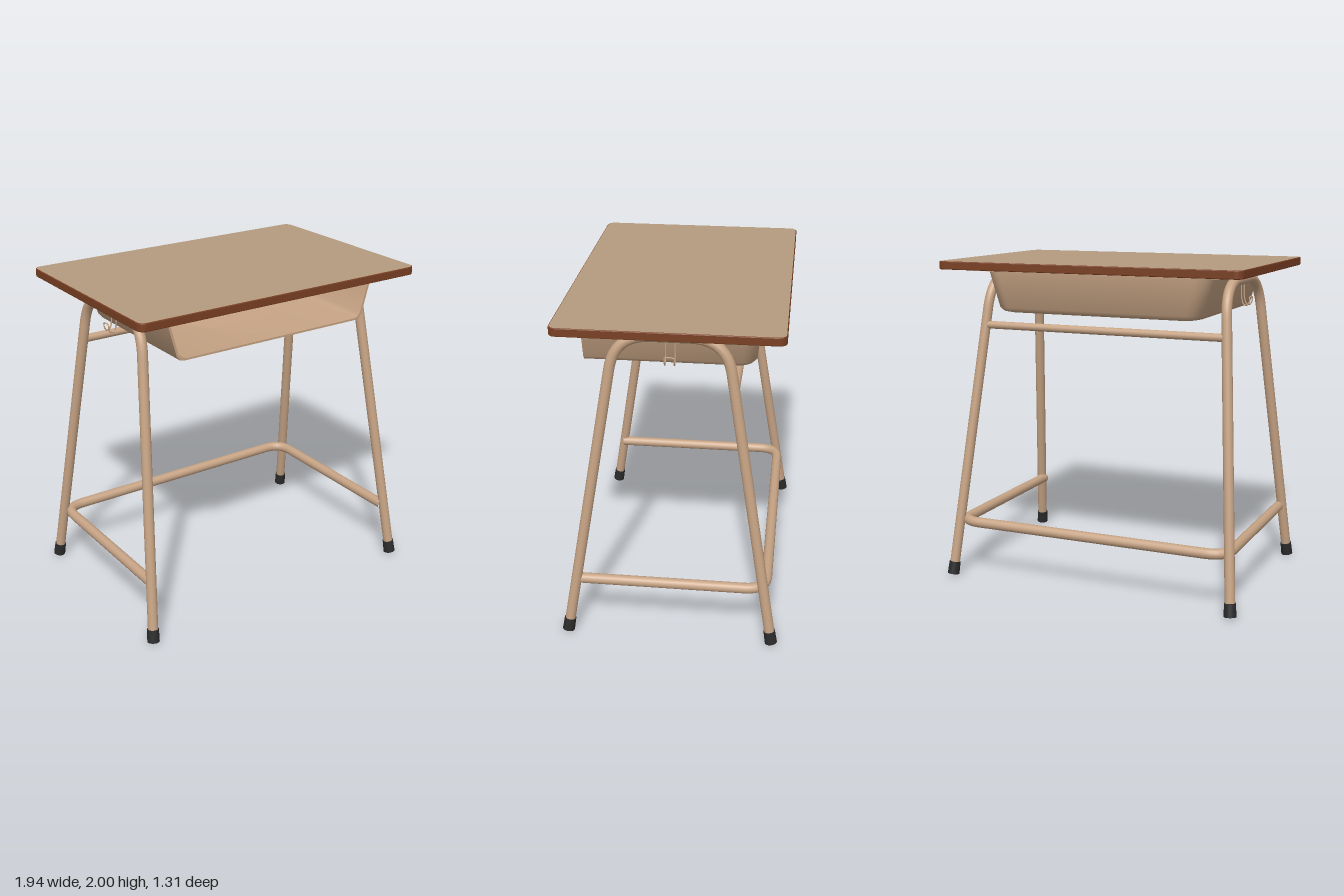
import * as THREE from 'three';
import { toCreasedNormals } from 'three/addons/utils/BufferGeometryUtils.js';

const V = (x, y, z) => new THREE.Vector3(x, y, z);
const material = (name, color) => Object.assign(new THREE.MeshStandardMaterial({ color }), { name });

// Polyline with its inner corners rounded off
function roundedPath(points, cut) {
  const path = new THREE.CurvePath();
  let from = points[0];
  for (let i = 1; i < points.length - 1; i++) {
    const p = points[i];
    const a = p.clone().add(points[i - 1].clone().sub(p).setLength(cut));
    const b = p.clone().add(points[i + 1].clone().sub(p).setLength(cut));
    path.add(new THREE.LineCurve3(from, a));
    path.add(new THREE.QuadraticBezierCurve3(a, p, b));
    from = b;
  }
  path.add(new THREE.LineCurve3(from, points[points.length - 1]));
  return path;
}

// Open-fronted tray, lofted through U-shaped outlines: [half width, back z, corner radius, y]
function trayGeometry(front) {
  const t = 0.012;
  const outer = [
    [0.615, -0.43, 0.08, 1.685], [0.645, -0.452, 0.085, 1.692],
    [0.665, -0.47, 0.09, 1.715], [0.728, -0.492, 0.1, 1.939],
  ];
  const inner = outer.map(([w, b, r, y], i) => [w - t, b + t, r - t, i === 3 ? 1.949 : y + t]).reverse();
  const levels = [...outer, [0.8, -0.53, 0.03, 1.939], [0.8, -0.53, 0.03, 1.949], ...inner];
  const outline = ([w, back, r, y]) => {
    const row = [V(w, y, front)];
    for (const [side, start] of [[1, 0], [-1, Math.PI / 2]]) {
      for (let i = 0; i <= 8; i++) {
        const a = start + (i / 8) * Math.PI / 2;
        row.push(V(side * (w - r) + r * Math.cos(a), y, back + r - r * Math.sin(a)));
      }
    }
    row.push(V(-w, y, front));
    return row;
  };
  const rows = levels.map(outline);
  const count = rows[0].length;
  // The floors close on a point in the middle of the front edge
  rows.unshift(Array(count).fill(V(0, 1.685, front)));
  rows.push(Array(count).fill(V(0, 1.685 + t, front)));

  const pos = [];
  const tri = (...ps) => ps.forEach((p) => pos.push(p.x, p.y, p.z));
  const quad = (a, b, c, d) => {
    if (!a.equals(b)) tri(a, b, c);
    if (!c.equals(d)) tri(a, c, d);
  };
  for (let j = 0; j < rows.length - 1; j++) {
    for (let i = 0; i < count - 1; i++) quad(rows[j][i], rows[j][i + 1], rows[j + 1][i + 1], rows[j + 1][i]);
  }
  // Front rim between the outer and inner skins
  for (let j = 0; j < rows.length / 2 - 1; j++) {
    const k = rows.length - 1 - j;
    quad(rows[j][0], rows[j + 1][0], rows[k - 1][0], rows[k][0]);
    quad(rows[k][count - 1], rows[k - 1][count - 1], rows[j + 1][count - 1], rows[j][count - 1]);
  }
  const g = new THREE.BufferGeometry();
  g.setAttribute('position', new THREE.Float32BufferAttribute(pos, 3));
  return toCreasedNormals(g, 0.7);
}

export function createModel() {
  const desk = new THREE.Group();
  desk.name = 'schoolDesk';
  const topMat = material('laminate', 0xb59b80);
  const edgeMat = material('brownEdge', 0x7a4023);
  const frameMat = material('beigeMetal', 0xc6a384);
  const trayMat = material('beigeTray', 0xc6a384);
  trayMat.side = THREE.DoubleSide;
  const footMat = material('blackRubber', 0x2b2b2b);

  const add = (name, geometry, mat) => {
    const mesh = new THREE.Mesh(geometry, mat);
    mesh.name = name;
    desk.add(mesh);
    return mesh;
  };
  const tube = (name, path, radius, segments, sides = 16) =>
    add(name, new THREE.TubeGeometry(path, segments, radius, sides), frameMat);

  // Tabletop with a brown edge band
  const W = 0.96, D = 0.635, R = 0.04;
  const slab = new THREE.Shape();
  slab.absarc(W - R, D - R, R, 0, Math.PI / 2);
  slab.absarc(R - W, D - R, R, Math.PI / 2, Math.PI);
  slab.absarc(R - W, R - D, R, Math.PI, Math.PI * 1.5);
  slab.absarc(W - R, R - D, R, Math.PI * 1.5, Math.PI * 2);
  const slabGeo = new THREE.ExtrudeGeometry(slab, {
    depth: 0.04, bevelSize: 0.005, bevelThickness: 0.005, bevelSegments: 2, curveSegments: 8,
  });
  slabGeo.rotateX(-Math.PI / 2).translate(0, 1.955, 0);
  add('tabletop', slabGeo, [topMat, edgeMat]);

  // Storage tray
  add('tray', trayGeometry(0.51), trayMat);

  // Splayed legs: each side is one bent tube leaning inwards
  const leg = (s, y, f) => V(s * (0.932 - 0.0855 * y), y, f * (0.62 - 0.163 * y));
  for (const s of [1, -1]) {
    const side = s > 0 ? 'left' : 'right';
    tube(side + 'LegFrame', roundedPath([leg(s, 0.04, 1), leg(s, 1.897, 1), leg(s, 1.897, -1), leg(s, 0.04, -1)], 0.2), 0.031, 120);

    // Rubber feet along the leg axis
    for (const f of [1, -1]) {
      const foot = add(side + (f > 0 ? 'Front' : 'Back') + 'Foot', new THREE.CylinderGeometry(0.035, 0.037, 0.08, 24), footMat);
      foot.position.copy(leg(s, 0.046, f));
      foot.quaternion.setFromUnitVectors(V(0, 1, 0), leg(s, 1, f).sub(leg(s, 0, f)).normalize());
    }

    // Bag hook: a doubled wire bent outwards
    const half = [[0.772, 1.88], [0.777, 1.78], [0.79, 1.75], [0.81, 1.748], [0.823, 1.768], [0.824, 1.792]];
    const wire = [
      ...half.map(([x, y]) => V(s * x, y, 0.027)),
      ...half.slice().reverse().map(([x, y]) => V(s * x, y, -0.027)),
    ];
    tube(side + 'BagHook', new THREE.CatmullRomCurve3(wire, false, 'centripetal'), 0.004, 64, 8);
  }

  // Lower rail, bent round the back, and the upper cross bar
  const x = 0.885, y = 0.355;
  tube('lowerRail', roundedPath([V(x, y, 0.565), V(x, y, -0.575), V(-x, y, -0.575), V(-x, y, 0.565)], 0.13), 0.032, 140);
  tube('upperCrossBar', new THREE.LineCurve3(leg(1, 1.59, -1), leg(-1, 1.59, -1)), 0.024, 1);

  return desk;
}
